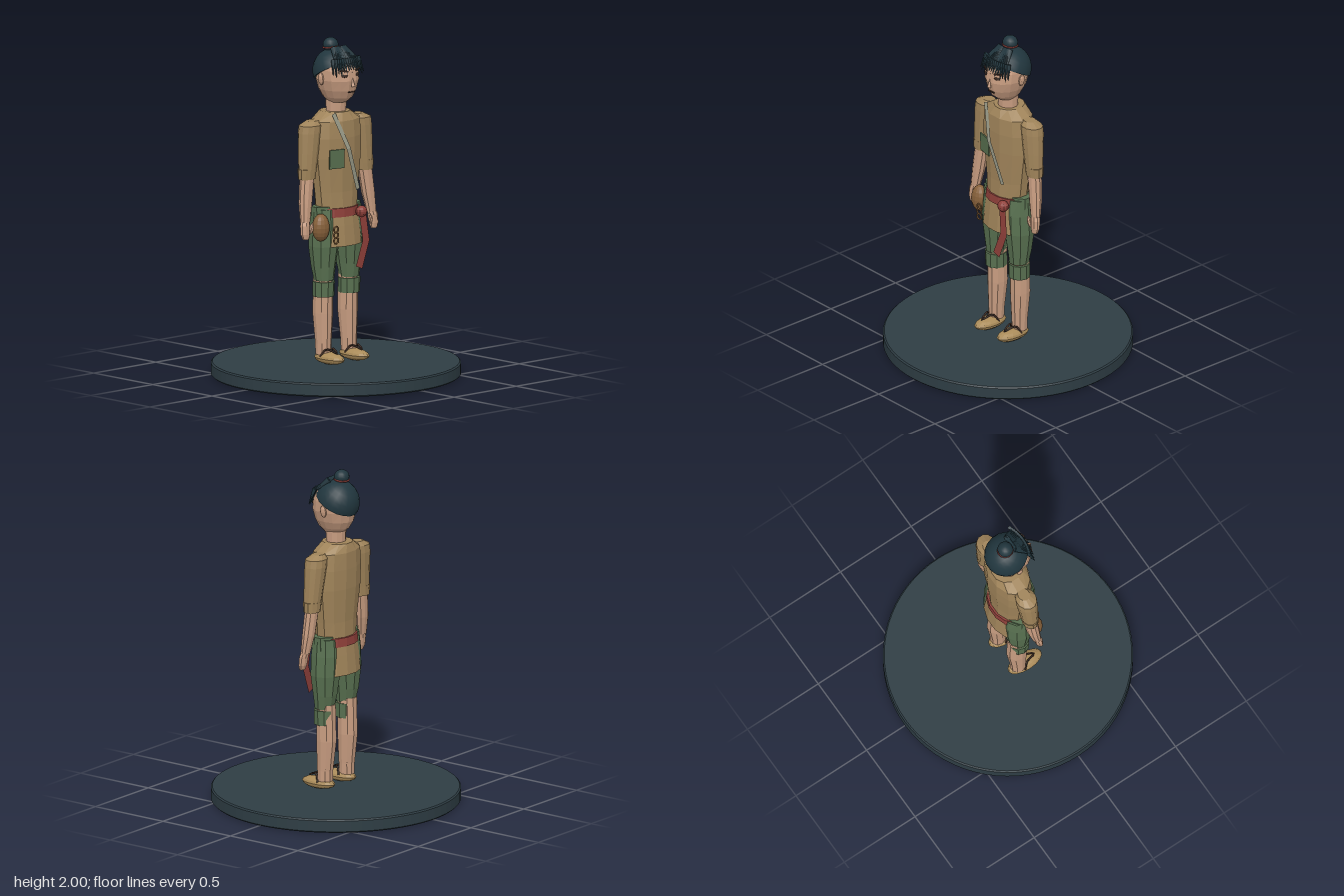
import * as THREE from 'three';

const mat = (name, color) => Object.assign(new THREE.MeshStandardMaterial({ color }), { name });
const M = {
  skin: mat('skin', 0xc79c80), cloth: mat('tan cloth', 0xa0845a), green: mat('green cloth', 0x587050),
  red: mat('red sash', 0x8f403a), hair: mat('dark hair', 0x21363e), base: mat('slate base', 0x2e3d44),
  brown: mat('brown leather', 0x86603a), straw: mat('straw', 0xaa8b59), strap: mat('grey strap', 0x9b9c8a),
  dark: mat('dark brown', 0x3b2a22),
};
M.red.side = M.strap.side = THREE.DoubleSide;

export function createModel() {
  const model = new THREE.Group();
  model.name = 'travellerFigure';
  const V = (x, y, z) => new THREE.Vector3(x, y, z);

  function add(name, geo, material, pos = [0, 0, 0], rot = [0, 0, 0], scale = [1, 1, 1]) {
    const mesh = new THREE.Mesh(geo, material);
    mesh.name = name;
    mesh.position.set(...pos);
    mesh.rotation.set(...rot);
    mesh.scale.set(...scale);
    model.add(mesh);
    return mesh;
  }
  // Flat-shaded version of a geometry
  function flat(geo) {
    const g = geo.index ? geo.toNonIndexed() : geo;
    g.computeVertexNormals();
    return g;
  }
  // Closed faceted skin through elliptical rings [y, cx, cz, rx, rz], bottom to top
  function loft(rings, sides = 12, s = 1) {
    const pos = [], idx = [];
    for (const [y, cx, cz, rx, rz] of rings) {
      for (let j = 0; j < sides; j++) {
        const a = ((j + 0.5) / sides) * Math.PI * 2;
        pos.push(s * cx + rx * Math.sin(a), y, cz + rz * Math.cos(a));
      }
    }
    const n = rings.length, b = n * sides, last = rings[n - 1];
    pos.push(s * rings[0][1], rings[0][0], rings[0][2], s * last[1], last[0], last[2]);
    for (let j = 0; j < sides; j++) {
      const k = (j + 1) % sides, t = (n - 1) * sides;
      for (let i = 0; i < n - 1; i++) {
        const p = i * sides, q = p + sides;
        idx.push(p + j, p + k, q + k, p + j, q + k, q + j);
      }
      idx.push(b, k, j, b + 1, t + j, t + k);
    }
    const g = new THREE.BufferGeometry();
    g.setAttribute('position', new THREE.Float32BufferAttribute(pos, 3));
    g.setIndex(idx);
    return flat(g);
  }
  // Ribbon of given width along a path of points
  function ribbon(points, w) {
    const pos = [], idx = [];
    points.forEach((p, i) => {
      const d = points[Math.min(i + 1, points.length - 1)].clone().sub(points[Math.max(i - 1, 0)]);
      const side = V(-d.y, d.x, 0).normalize().multiplyScalar(w / 2);
      const a = p.clone().add(side), c = p.clone().sub(side);
      pos.push(a.x, a.y, a.z, c.x, c.y, c.z);
      if (i) idx.push(2 * i - 2, 2 * i, 2 * i - 1, 2 * i - 1, 2 * i, 2 * i + 1);
    });
    const g = new THREE.BufferGeometry();
    g.setAttribute('position', new THREE.Float32BufferAttribute(pos, 3));
    g.setIndex(idx);
    return flat(g);
  }
  // Tapering lock between two points
  function lock(name, a, b, r) {
    const m = add(name, new THREE.CylinderGeometry(0.002, r, a.distanceTo(b), 5), M.hair);
    m.position.copy(a).lerp(b, 0.5);
    m.quaternion.setFromUnitVectors(V(0, 1, 0), b.clone().sub(a).normalize());
  }
  const ball = (w = 14, h = 10) => new THREE.SphereGeometry(1, w, h);

  // Round display base
  const rim = [[0, 0], [0.722, 0], [0.73, 0.008], [0.73, 0.072], [0.722, 0.08], [0, 0.08]];
  add('base', flat(new THREE.LatheGeometry(rim.map(p => new THREE.Vector2(...p)), 72)), M.base);

  for (const s of [1, -1]) {
    // Sandals and thongs
    add('sandal', flat(ball(16, 8)), M.straw, [s * 0.1, 0.115, 0.05], [0, 0, 0], [0.056, 0.035, 0.115]);
    const thong = [[-0.048, 0.125, 0.02], [-0.025, 0.17, 0.05], [0, 0.15, 0.115], [0.025, 0.17, 0.05], [0.048, 0.125, 0.02]]
      .map(([x, y, z]) => V(x + s * 0.1, y, z));
    add('sandalThong', new THREE.TubeGeometry(new THREE.CatmullRomCurve3(thong), 16, 0.006, 5), M.dark);
    // Legs and short trousers
    add('leg', loft([[0.135, 0.103, 0, 0.045, 0.048], [0.2, 0.102, 0, 0.047, 0.05],
      [0.38, 0.1, -0.007, 0.058, 0.064], [0.52, 0.1, -0.005, 0.057, 0.062], [0.6, 0.1, -0.005, 0.056, 0.06]], 10, s), M.skin);
    add('trouserCuff', loft([[0.48, 0.103, 0.003, 0.065, 0.063], [0.568, 0.103, 0.003, 0.067, 0.065]], 10, s), M.green);
    add('trouserLeg', loft([[0.575, 0.102, 0.005, 0.06, 0.058], [0.66, 0.102, 0, 0.073, 0.074],
      [0.78, 0.1, 0, 0.09, 0.09], [0.9, 0.095, 0, 0.09, 0.09], [1.0, 0.09, 0, 0.085, 0.08]], 10, s), M.green);
    // Sleeves with rolled cuffs
    add('sleeve', loft([[1.23, 0.228, -0.003, 0.056, 0.048], [1.34, 0.218, -0.006, 0.064, 0.055],
      [1.46, 0.206, -0.01, 0.072, 0.062], [1.505, 0.2, -0.01, 0.072, 0.06], [1.53, 0.18, -0.012, 0.04, 0.035]], 12, s), M.cloth);
    add('sleeveCuff', loft([[1.19, 0.232, -0.004, 0.056, 0.046], [1.25, 0.229, -0.004, 0.061, 0.05]], 12, s), M.cloth);
    // Forearms and hands
    add('forearm', loft([[0.94, 0.266, 0.018, 0.032, 0.027], [1.05, 0.252, 0.006, 0.042, 0.037],
      [1.21, 0.231, -0.003, 0.046, 0.04]], 10, s), M.skin);
    add('hand', loft([[0.84, 0.274, 0.034, 0.022, 0.014], [0.87, 0.275, 0.03, 0.032, 0.022],
      [0.92, 0.272, 0.025, 0.034, 0.025], [0.955, 0.265, 0.018, 0.028, 0.023]], 8, s), M.skin);
    add('thumb', flat(ball(7, 5)), M.skin, [s * 0.237, 0.9, 0.04], [0, 0, s * 0.35], [0.014, 0.036, 0.014]);
    // Ears
    add('ear', flat(ball(10, 6)), M.skin, [s * 0.12, 1.77, 0], [0, 0, -s * 0.12], [0.016, 0.038, 0.02]);
    // Eyes and brows
    add('eye', ball(10, 6), M.dark, [s * 0.05, 1.793, 0.128], [0, s * 0.35, 0], [0.021, 0.009, 0.005]);
    add('eyebrow', new THREE.BoxGeometry(0.05, 0.008, 0.008), M.dark, [s * 0.053, 1.822, 0.125], [0, s * 0.4, s * 0.12]);
  }

  // Hips, tunic skirt and torso
  add('hips', loft([[0.84, 0, 0, 0.17, 0.085], [0.92, 0, 0, 0.18, 0.088], [1.015, 0, 0, 0.182, 0.08]], 12), M.green);
  add('tunicSkirt', loft([[0.78, 0, 0, 0.178, 0.123], [0.9, 0, 0, 0.165, 0.112], [1.0, 0, 0, 0.145, 0.102]], 14), M.cloth);
  add('torso', loft([[0.98, 0, 0.002, 0.14, 0.1], [1.1, 0, 0, 0.152, 0.1], [1.3, 0, -0.003, 0.178, 0.112],
    [1.42, 0, -0.003, 0.182, 0.115], [1.52, 0, -0.005, 0.17, 0.112], [1.57, 0, -0.01, 0.09, 0.092]], 12), M.cloth);

  // Sash with knot and hanging end
  add('sash', loft([[0.953, 0, 0, 0.158, 0.113], [1.005, 0, 0, 0.15, 0.11]], 14), M.red);
  add('sashKnot', flat(ball(10, 8)), M.red, [0.092, 0.972, 0.118], [0, 0, 0], [0.037, 0.034, 0.032]);
  add('sashTail', ribbon([V(0.095, 0.96, 0.126), V(0.115, 0.8, 0.134), V(0.055, 0.645, 0.138)], 0.055), M.red);

  // Chest strap and sewn patch
  add('chestStrap', ribbon([V(-0.1, 1.57, 0.085), V(-0.02, 1.36, 0.13), V(0.075, 1.105, 0.108)], 0.03), M.strap);
  add('chestPatch', new THREE.BoxGeometry(0.1, 0.112, 0.008), M.green, [-0.089, 1.302, 0.101], [0.03, -0.22, 0]);

  // Leather gourd and hanging rings
  add('gourd', flat(ball(14, 10)), M.brown, [-0.18, 0.902, 0.06], [0, 0, 0], [0.055, 0.082, 0.05]);
  for (let i = 0; i < 3; i++) {
    add('hangingRing', new THREE.TorusGeometry(0.018, 0.005, 6, 14), M.brown, [-0.115, 0.89 - i * 0.033, 0.122]);
  }

  // Neck and head
  add('neck', loft([[1.54, 0, 0, 0.06, 0.057], [1.64, 0, 0, 0.062, 0.06]], 12), M.skin);
  add('head', loft([[1.625, 0, 0.012, 0.055, 0.06], [1.655, 0, 0.012, 0.077, 0.098], [1.7, 0, 0.01, 0.1, 0.123],
    [1.76, 0, 0.01, 0.118, 0.136], [1.82, 0, 0.005, 0.12, 0.133], [1.87, 0, 0, 0.11, 0.11], [1.91, 0, -0.01, 0.075, 0.075]], 14), M.skin);
  add('nose', flat(new THREE.ConeGeometry(0.016, 0.055, 4)), M.skin, [0, 1.755, 0.143], [-0.12, 0, 0]);
  add('mouth', new THREE.BoxGeometry(0.05, 0.007, 0.008), M.dark, [0, 1.694, 0.13]);

  // Swept-back hair, fringe and tied bun
  const cap = new THREE.SphereGeometry(0.135, 18, 7, 0, Math.PI * 2, 0, Math.PI / 2);
  add('hairCap', cap, M.hair, [0, 1.805, -0.008], [-0.5, 0, 0], [0.96, 1, 1]);
  add('hairUnderside', new THREE.CircleGeometry(0.135, 18), M.hair, [0, 1.805, -0.008], [Math.PI / 2 - 0.5, 0, 0], [0.96, 1, 1]);
  for (let i = 0; i < 15; i++) {
    const t = (i - 7) / 7, tip = 1.825 - 0.025 * Math.abs(t) - 0.015 * (i % 2);
    const mid = V(t * 0.1, 1.875, 0.11 - 0.02 * t * t);
    lock('fringeRoot', V(t * 0.04, 1.94, 0.02), mid.clone().add(V(0, -0.012, 0.012)), 0.02);
    lock('fringeTip', mid.clone().add(V(0, 0.015, -0.01)), V(t * 0.122, tip, 0.135 - 0.03 * t * t), 0.013);
  }
  add('hairBun', ball(16, 10), M.hair, [-0.015, 1.957, -0.03], [0, 0, 0], [0.047, 0.043, 0.045]);
  add('hairTie', new THREE.TorusGeometry(0.042, 0.006, 6, 20), M.red, [-0.015, 1.942, -0.03], [Math.PI / 2 - 0.1, 0, 0]);

  return model;
}
